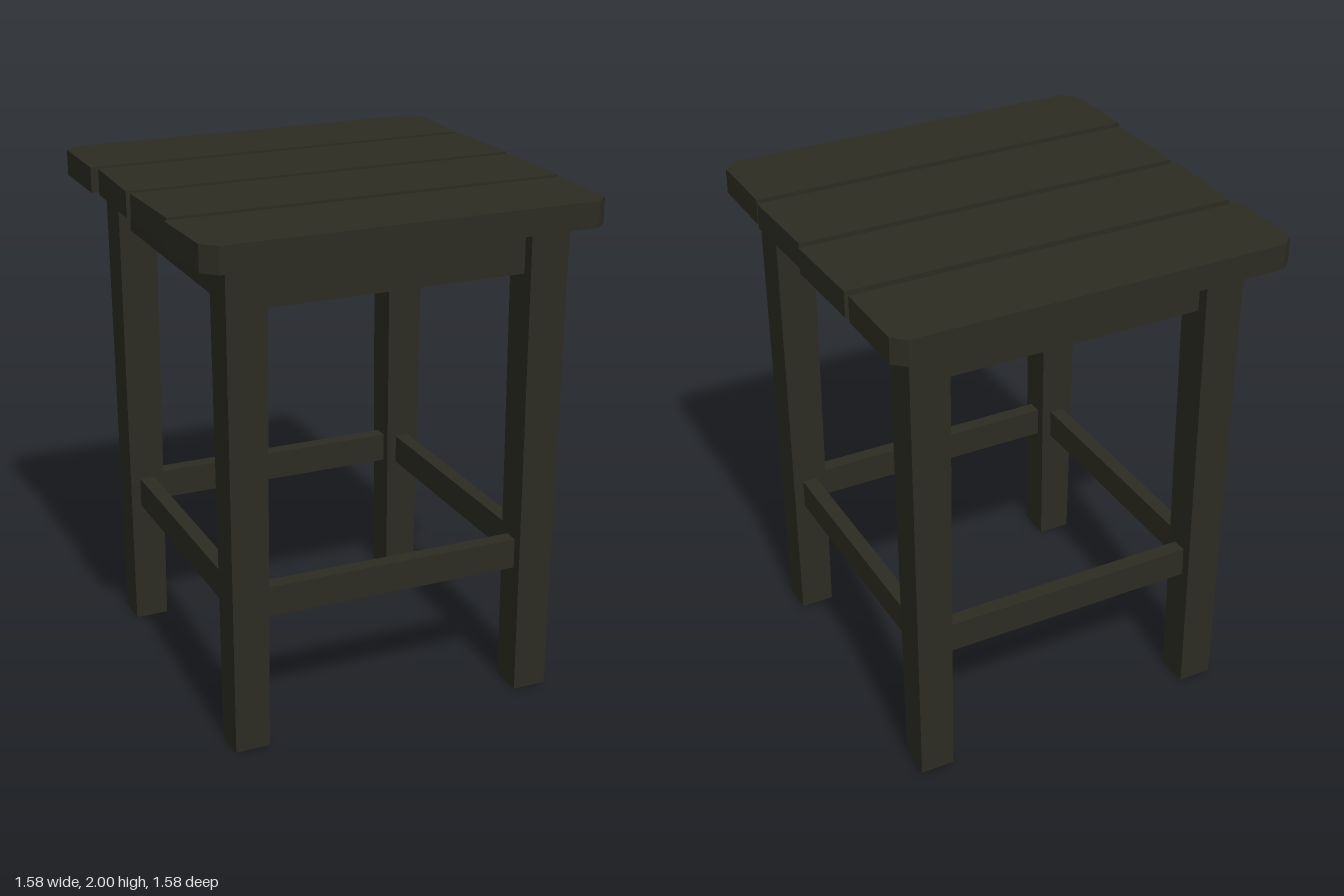
import * as THREE from 'three';

export function createModel() {
  const stool = new THREE.Group();
  stool.name = 'slattedStool';
  const wood = new THREE.MeshStandardMaterial({ color: 0x2c2c22 });
  wood.name = 'dark olive wood';

  const add = (name, geometry, x, y, z) => {
    const mesh = new THREE.Mesh(geometry, wood);
    mesh.name = name;
    mesh.position.set(x, y, z);
    stool.add(mesh);
  };

  // Seat slats: slightly uneven outlines in (x, z), outer corners clipped
  const slats = [
    [[-0.74, -0.79], [0.73, -0.79], [0.78, -0.745], [0.78, -0.425], [-0.79, -0.425], [-0.79, -0.745]],
    [[-0.77, -0.39], [0.78, -0.39], [0.79, -0.02], [-0.78, -0.02]],
    [[-0.775, 0.015], [0.775, 0.015], [0.785, 0.385], [-0.765, 0.385]],
    [[-0.785, 0.42], [0.775, 0.42], [0.775, 0.735], [0.725, 0.785], [-0.72, 0.785], [-0.775, 0.735]],
  ];
  slats.forEach((outline, i) => {
    const shape = new THREE.Shape(outline.map(([x, z]) => new THREE.Vector2(x, -z)));
    const geometry = new THREE.ExtrudeGeometry(shape, { depth: 0.1, bevelEnabled: false });
    geometry.rotateX(-Math.PI / 2);
    add('seatSlat' + (i + 1), geometry, 0, 1.9, 0);
  });

  // Legs: square posts narrowing towards the floor
  const legX = { right: -0.583, left: 0.598 };
  const legZ = { back: -0.588, front: 0.593 };
  const legGeometry = new THREE.BoxGeometry(0.155, 1.9, 0.155);
  const p = legGeometry.attributes.position;
  for (let i = 0; i < p.count; i++) {
    if (p.getY(i) < 0) p.setXYZ(i, p.getX(i) * 0.87, p.getY(i), p.getZ(i) * 0.87);
  }
  legGeometry.computeVertexNormals();
  for (const [end, z] of Object.entries(legZ)) {
    for (const [side, x] of Object.entries(legX)) {
      add(`${end}Leg_${side}`, legGeometry, x, 0.95, z);
    }
  }

  // Aprons under the seat and stretchers lower down, centred on the legs
  const rails = [['Apron', 1.71, 1.9], ['Stretcher', 0.52, 0.64]];
  const span = 1.05, thickness = 0.06;
  for (const [kind, bottom, top] of rails) {
    const height = top - bottom, y = (top + bottom) / 2;
    for (const [end, z] of Object.entries(legZ)) {
      add(end + kind, new THREE.BoxGeometry(span, height, thickness), 0.0075, y, z);
    }
    for (const [side, x] of Object.entries(legX)) {
      add(side + kind, new THREE.BoxGeometry(thickness, height, span), x, y, 0.0025);
    }
  }
  return stool;
}
